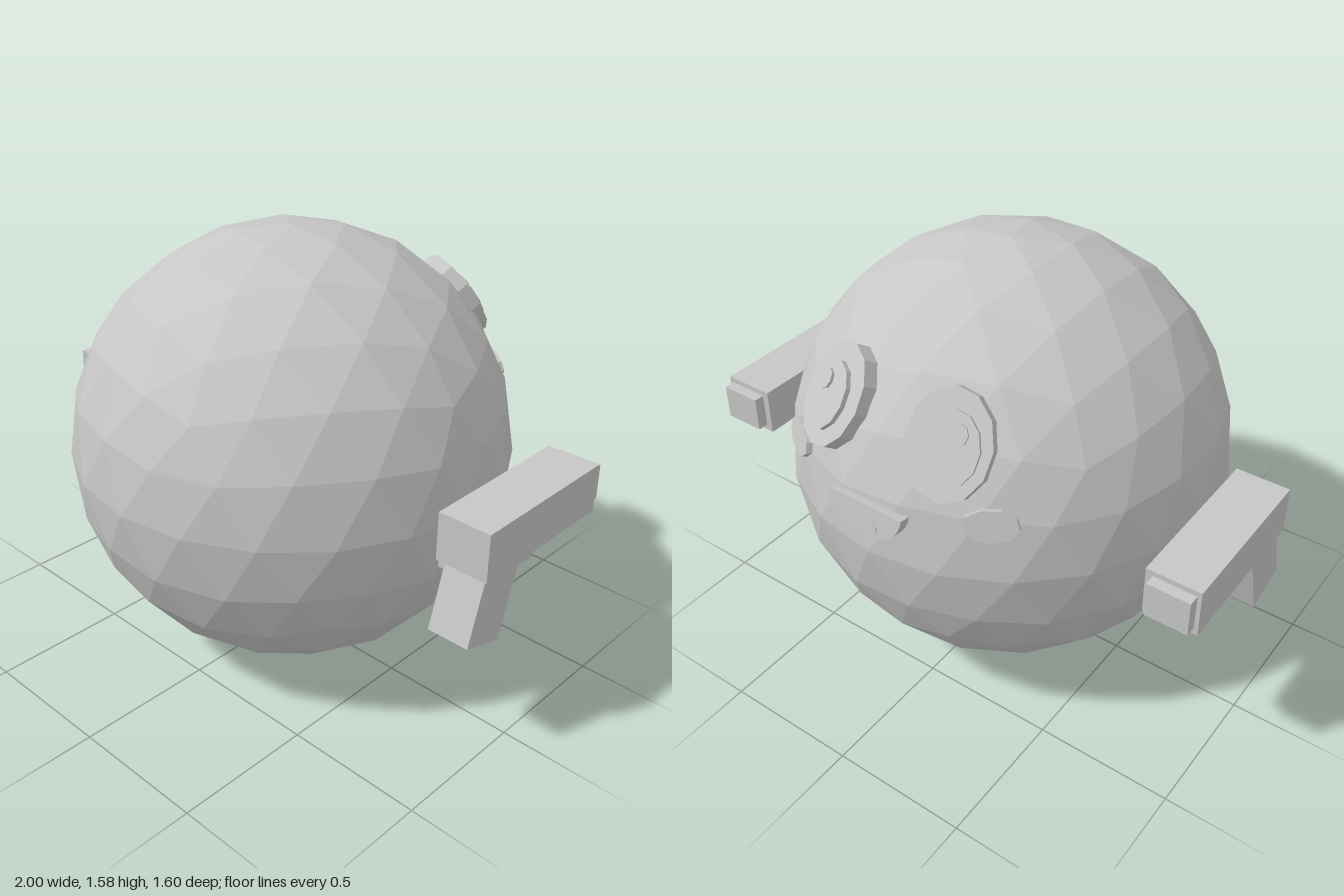
import * as THREE from 'three';

const grey = new THREE.MeshStandardMaterial({ color: 0xc6c6c6 });
grey.name = 'plain grey';
grey.flatShading = true;

const CENTRE = new THREE.Vector3(0, 0.79, 0.01);
const RADIUS = 0.79;

function part(name, geometry, x = 0, y = 0, z = 0) {
  const mesh = new THREE.Mesh(geometry, grey);
  mesh.name = name;
  mesh.position.set(x, y, z);
  return mesh;
}

// Box given by its limits on each axis, mirrored in x by side
function box(name, side, [x0, x1], [y0, y1], [z0, z1]) {
  return part(name, new THREE.BoxGeometry(x1 - x0, y1 - y0, z1 - z0),
    side * (x0 + x1) / 2, (y0 + y1) / 2, (z0 + z1) / 2);
}

// Elliptical disc whose faces lie at distances near and far from the ball centre
function disc(name, rx, ry, near, far, segments, x = 0, y = 0) {
  const geometry = new THREE.CylinderGeometry(1, 1, far - near, segments);
  geometry.rotateX(Math.PI / 2).scale(rx, ry, 1);
  return part(name, geometry, x, y, (near + far) / 2);
}

// Half disc with a straight upper edge
function halfDisc(name, rx, ry, near, far, y) {
  const shape = new THREE.Shape();
  shape.absellipse(0, 0, rx, ry, Math.PI, 2 * Math.PI, false);
  shape.closePath();
  const geometry = new THREE.ExtrudeGeometry(shape, { depth: far - near, bevelEnabled: false, curveSegments: 8 });
  return part(name, geometry, 0, y, near);
}

// Group at the ball centre whose +z points along a direction
function facing(name, x, y, z) {
  const group = new THREE.Group();
  group.name = name;
  group.position.copy(CENTRE);
  group.lookAt(CENTRE.clone().add(new THREE.Vector3(x, y, z)));
  return group;
}

function createBlaster(side) {
  const blaster = new THREE.Group();
  blaster.name = side > 0 ? 'leftBlaster' : 'rightBlaster';
  blaster.add(
    box('barrel', side, [0.805, 1], [0.705, 0.88], [-0.415, 0.19]),
    box('muzzle', side, [0.83, 0.985], [0.73, 0.86], [-0.455, -0.41]),
    box('trigger', side, [0.86, 0.955], [0.635, 0.695], [-0.125, 0.03]),
    box('mount', side, [0.74, 0.85], [0.62, 0.74], [-0.035, 0.11])
  );
  // Grip slants back as it goes down
  const grip = part('grip', new THREE.BoxGeometry(0.155, 0.3, 0.175), side * 0.9075, 0.595, 0.115);
  grip.rotation.x = -0.3;
  blaster.add(grip);
  return blaster;
}

export function createModel() {
  const model = new THREE.Group();
  model.name = 'ballCreature';

  // Faceted body, turned to put a corner at the top
  const ball = new THREE.IcosahedronGeometry(RADIUS, 3);
  ball.rotateZ(-Math.atan(2 / (1 + Math.sqrt(5))));
  model.add(part('body', ball, CENTRE.x, CENTRE.y, CENTRE.z));

  for (const side of [1, -1]) {
    const eye = facing(side > 0 ? 'leftEye' : 'rightEye', side * 0.225, 0.43, -0.63);
    eye.add(
      disc('eyeWhite', 0.14, 0.18, 0.755, 0.815, 12),
      disc('iris', 0.092, 0.12, 0.81, 0.832, 12, -side * 0.012, -0.01),
      disc('eyeGlint', 0.028, 0.035, 0.83, 0.842, 8, -side * 0.035, 0.035)
    );
    const cheek = facing('cheek', side * 0.4, 0.215, -0.67);
    cheek.add(disc('cheekDisc', 0.092, 0.055, 0.765, 0.802, 9));
    model.add(eye, cheek, createBlaster(side));
  }

  // Smile with a small tongue
  const mouth = facing('mouth', 0, 0.14, -0.797);
  mouth.add(
    halfDisc('smile', 0.145, 0.115, 0.765, 0.808, 0.055),
    disc('tongue', 0.055, 0.03, 0.8, 0.812, 10, 0, -0.018)
  );
  model.add(mouth);
  return model;
}
